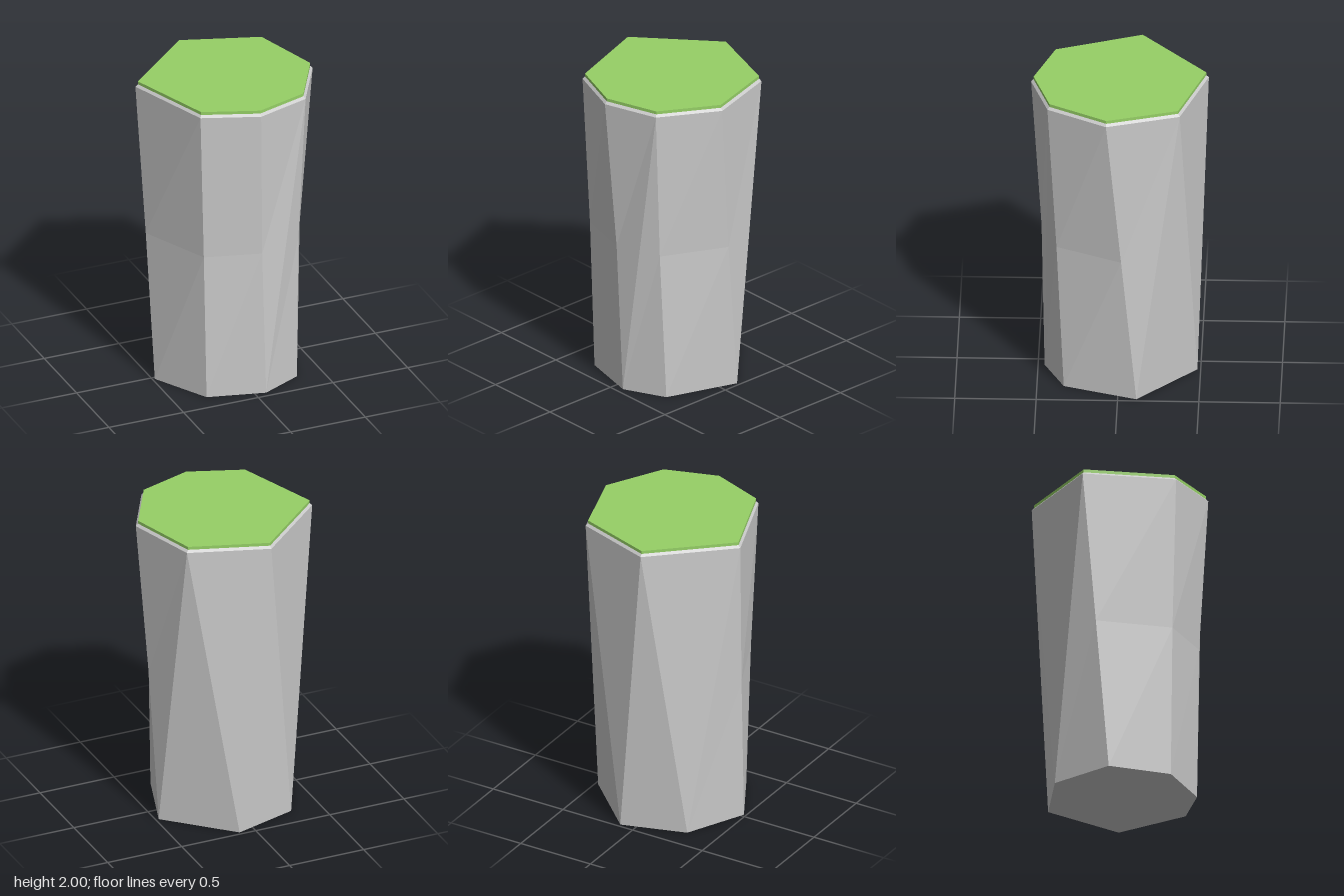
import * as THREE from 'three';

const Y_MID = 0.98, Y_RIM = 1.965, Y_CAP = 1.98, Y_TOP = 2;

// Corners [x, z] of the top outline, running counter-clockwise seen from outside (left to right)
const top = [[-0.55, -0.13], [-0.35, 0.415], [0, 0.545], [0.345, 0.435], [0.55, 0.07], [0.41, -0.38], [-0.085, -0.545]];
// Corners [x, z] of the foot outline, same direction
const foot = [[-0.485, 0.02], [-0.29, 0.37], [0.07, 0.46], [0.33, 0.335], [0.48, -0.115], [0.1, -0.48], [-0.305, -0.355]];

// Long edges of the pillar: [top corner, foot corner, optional bent middle]
const edges = [
  [0, 0, [-0.513, -0.055]], [1, 1, [-0.315, 0.385]], [2, 2, [0.035, 0.48]],
  [3, 2], [3, 3, [0.32, 0.38]], [4, 4, [0.505, -0.022]],
  [5, 4], [5, 5], [6, 5], [6, 6], [0, 6],
];

const at = ([x, z], y) => new THREE.Vector3(x, y, z);
const ring = (points, y, s = 1) => points.map(([x, z]) => new THREE.Vector3(x * s, y, z * s));

// Collects faces as separate triangles, dropping those collapsed to a line
function facets() {
  const pos = [];
  const tri = (a, b, c) => {
    const n = b.clone().sub(a).cross(c.clone().sub(a));
    if (n.length() > 1e-6) for (const p of [a, b, c]) pos.push(p.x, p.y, p.z);
  };
  return {
    // band between two closed loops
    band(lower, upper) {
      lower.forEach((a, i) => {
        const j = (i + 1) % lower.length;
        tri(a, lower[j], upper[j]);
        tri(a, upper[j], upper[i]);
      });
    },
    // flat convex lid facing up or down
    lid(loop, up) {
      for (let i = 1; i < loop.length - 1; i++) {
        if (up) tri(loop[0], loop[i], loop[i + 1]);
        else tri(loop[0], loop[i + 1], loop[i]);
      }
    },
    mesh(name, color) {
      const g = new THREE.BufferGeometry();
      g.setAttribute('position', new THREE.Float32BufferAttribute(pos, 3));
      g.computeVertexNormals();
      const m = new THREE.Mesh(g, new THREE.MeshStandardMaterial({ color, flatShading: true }));
      m.name = name;
      return m;
    },
  };
}

export function createModel() {
  const group = new THREE.Group();
  group.name = 'rockPillar';

  // Stone column: faceted sides with a slight bend at mid-height
  const low = edges.map(([, f]) => at(foot[f], 0));
  const high = edges.map(([t]) => at(top[t], Y_RIM));
  const middle = edges.map(([, , m], i) =>
    m ? at(m, Y_MID) : low[i].clone().lerp(high[i], Y_MID / Y_RIM));
  const stone = facets();
  stone.band(low, middle);
  stone.band(middle, high);
  stone.lid(ring(foot, 0), false);

  // Chamfered rim
  const inset = 0.972;
  stone.band(ring(top, Y_RIM), ring(top, Y_CAP, inset));
  group.add(stone.mesh('stoneColumn', 0xcccccc));

  // Thin grass slab on top
  const grass = facets();
  grass.band(ring(top, Y_CAP, inset), ring(top, Y_TOP, inset));
  grass.lid(ring(top, Y_TOP, inset), true);
  group.add(grass.mesh('grassTop', 0x96d066));

  return group;
}
